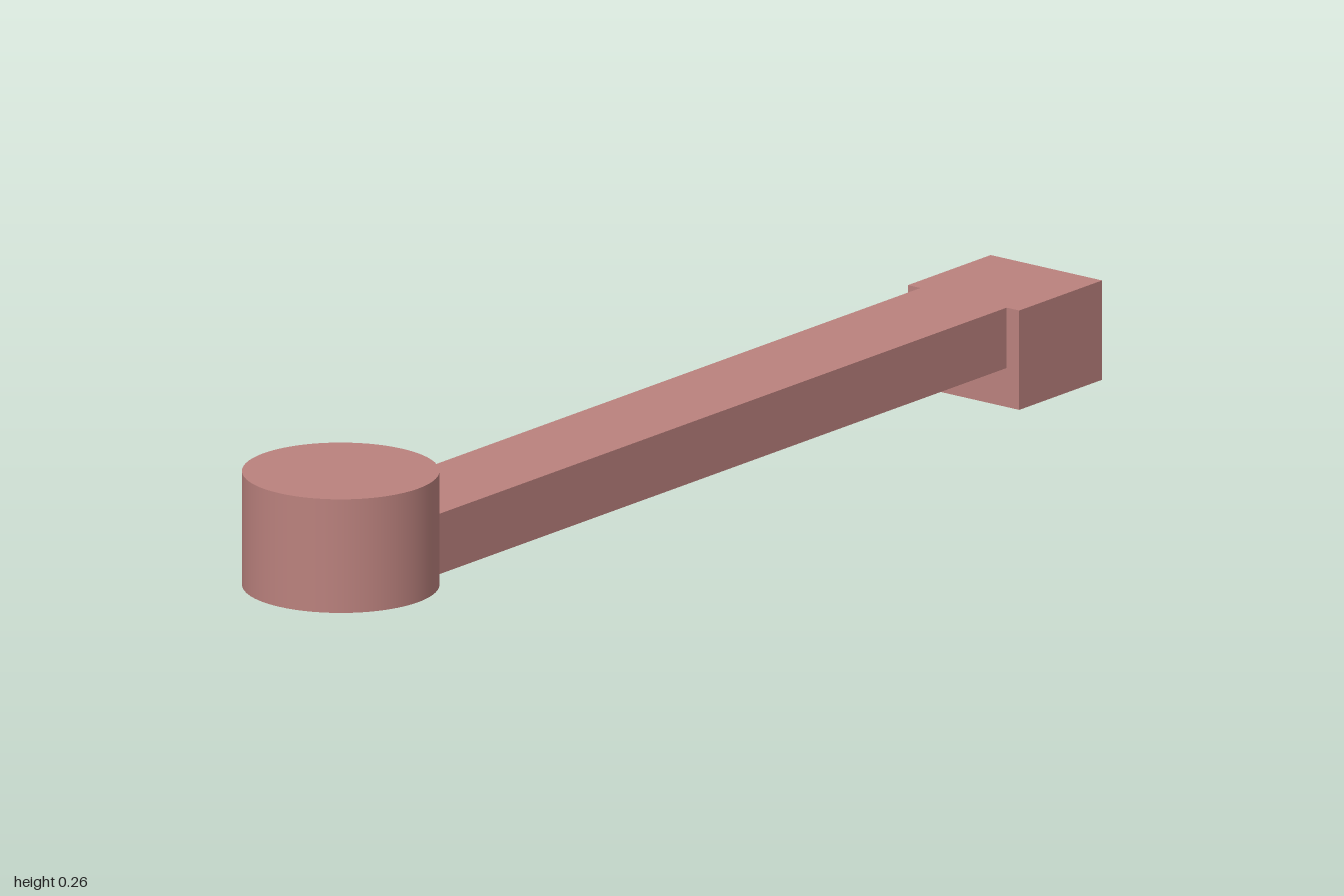
import * as THREE from 'three';

export function createModel() {
  const model = new THREE.Group();
  const clay = new THREE.MeshStandardMaterial({ color: 0xba817d });
  clay.name = 'dusty rose';

  const add = (name, geometry, x, y, z = 0) => {
    const mesh = new THREE.Mesh(geometry, clay);
    mesh.name = name;
    mesh.position.set(x, y, z);
    model.add(mesh);
  };

  // Round hub at the right end
  add('hub', new THREE.CylinderGeometry(0.16, 0.16, 0.192, 64), -0.84, 0.162);

  // Long flat arm, running from inside the hub to the end block
  const armStart = -0.8, armEnd = 0.785;
  add('arm', new THREE.BoxGeometry(armEnd - armStart, 0.102, 0.178), (armStart + armEnd) / 2, 0.117);

  // Block at the left end, hanging below the arm
  add('endBlock', new THREE.BoxGeometry(0.216, 0.168, 0.23), 0.892, 0.084);

  return model;
}
